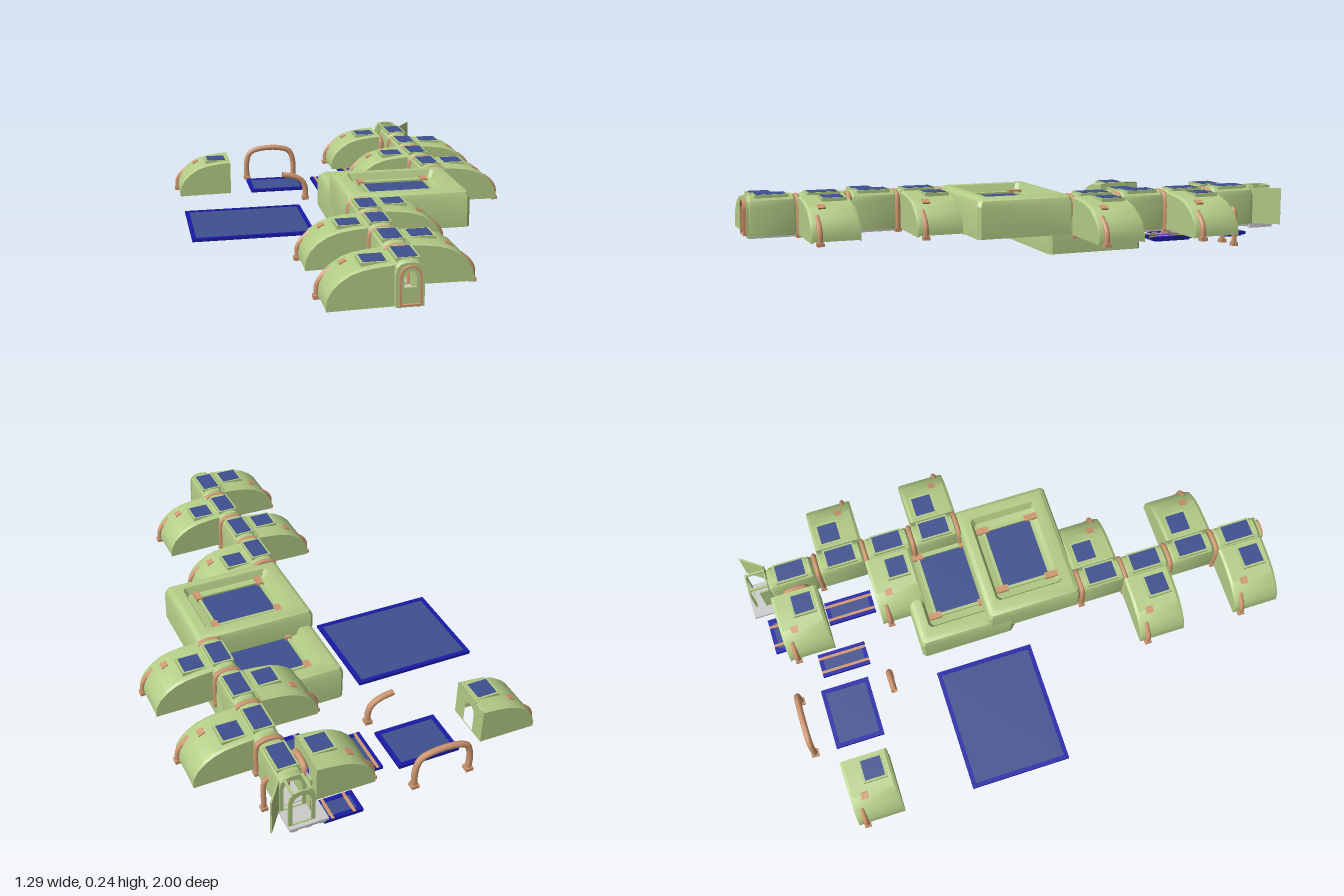
import * as THREE from 'three';
import { toCreasedNormals } from 'three/addons/utils/BufferGeometryUtils.js';

const paint = (color) => new THREE.MeshStandardMaterial({ color, side: THREE.DoubleSide });
const GREEN = paint(0xb4cd87), GLASS = paint(0x3f5090), NAVY = paint(0x1a1aa8);
const ORANGE = paint(0xd09870), GREY = paint(0xcccccc);
const V = (x, y, z) => new THREE.Vector3(x, y, z);

function add(parent, name, geo, mat, x = 0, y = 0, z = 0) {
  const m = new THREE.Mesh(geo, mat);
  m.name = name;
  m.position.set(x, y, z);
  parent.add(m);
  return m;
}

const box = (parent, name, mat, w, h, d, x, y, z) =>
  add(parent, name, new THREE.BoxGeometry(w, h, d), mat, x, y, z);

function group(parent, name, x = 0, y = 0, z = 0) {
  const g = new THREE.Group();
  g.name = name;
  g.position.set(x, y, z);
  parent.add(g);
  return g;
}

// Skin between matching cross-sections
function loft(rings, closed = false) {
  const n = rings[0].length, pos = [], idx = [];
  rings.forEach((r) => r.forEach((p) => pos.push(p.x, p.y, p.z)));
  for (let i = 0; i < rings.length - 1; i++)
    for (let j = 0; j < (closed ? n : n - 1); j++) {
      const a = i * n + j, b = i * n + (j + 1) % n;
      idx.push(a, b, b + n, a, b + n, a + n);
    }
  const g = new THREE.BufferGeometry();
  g.setAttribute('position', new THREE.Float32BufferAttribute(pos, 3));
  g.setIndex(idx);
  return toCreasedNormals(g, 0.5);
}

// Rounded-top door outline
function doorway(Type, cx, y0, hw, top) {
  const s = new Type();
  s.moveTo(cx - hw, y0);
  s.lineTo(cx + hw, y0);
  s.lineTo(cx + hw, top - hw);
  s.absarc(cx, top - hw, hw, 0, Math.PI, false);
  s.closePath();
  return s;
}

function doorFrame(parent, x, y0, z, hw, top, depth = 0.012) {
  const s = doorway(THREE.Shape, 0, y0, hw, top);
  s.holes.push(doorway(THREE.Path, 0, y0 + 0.006, hw - 0.006, top - 0.006));
  add(parent, 'doorFrame', new THREE.ExtrudeGeometry(s, { depth, bevelEnabled: false, curveSegments: 8 }), ORANGE, x, 0, z);
  const leaf = doorway(THREE.Shape, 0, y0 + 0.006, hw - 0.006, top - 0.006);
  leaf.holes.push(doorway(THREE.Path, 0, y0 + 0.06, hw * 0.55, top - 0.02));
  add(parent, 'doorLeaf', new THREE.ExtrudeGeometry(leaf, { depth: depth / 2, bevelEnabled: false, curveSegments: 8 }), GREEN, x, 0, z);
}

function tube(parent, name, pts, r) {
  const curve = new THREE.CatmullRomCurve3(pts, false, 'centripetal');
  return add(parent, name, new THREE.TubeGeometry(curve, 28, r, 8), ORANGE);
}

// Arched rib standing on two feet
function rib(parent, x, z, hw, y0, top, r = 0.01) {
  const g = group(parent, 'archRib', x, 0, z), c = hw * 0.45;
  const half = [V(hw, y0, 0), V(hw, top - c * 1.3, 0), V(hw - c * 0.35, top - c * 0.35, 0), V(hw - c * 1.3, top, 0)];
  const left = half.map((p) => V(-p.x, p.y, 0)).reverse();
  tube(g, 'ribTube', [...half, ...left], r);
  for (const s of [-1, 1]) box(g, 'ribFoot', ORANGE, r * 2.4, 0.014, r * 2.4, s * hw, y0 + 0.007, 0);
  return g;
}

// Pod: inner face on x = 0, curving down towards +x
const POD = [[0, 0.228], [0.05, 0.224], [0.1, 0.217], [0.14, 0.204], [0.175, 0.182], [0.2, 0.157], [0.215, 0.13], [0.22, 0.105], [0.22, 0.088]];
const POD_HALF = 0.09;

function pod(parent, x, z, flip, floor = false, dy = 0) {
  const g = group(parent, 'pod', x, dy, z);
  if (flip) g.rotation.y = Math.PI;
  const ring = (w, drop) => POD.map(([px, py]) => V(px, py - drop, w));
  add(g, 'podRoof', loft([ring(-POD_HALF, 0.006), ring(-POD_HALF + 0.01, 0), ring(POD_HALF - 0.01, 0), ring(POD_HALF, 0.006)]), GREEN);
  const side = new THREE.Shape([[0, 0.085], ...POD.map(([px, py]) => [px, py - 0.006])].map((p) => new THREE.Vector2(...p)));
  for (const s of [-1, 1]) add(g, 'podSide', new THREE.ShapeGeometry(side), GREEN, 0, 0, s * POD_HALF);
  const wall = new THREE.Shape();
  wall.moveTo(-POD_HALF, 0.085).lineTo(POD_HALF, 0.085).lineTo(POD_HALF, 0.225).lineTo(-POD_HALF, 0.225);
  wall.holes.push(doorway(THREE.Path, 0, 0.09, 0.03, 0.19));
  add(g, 'podInnerWall', new THREE.ShapeGeometry(wall, 8), GREEN).rotation.y = Math.PI / 2;
  box(g, 'skylightFrame', GREEN, 0.092, 0.02, 0.092, 0.058, 0.219, -0.022);
  box(g, 'skylight', GLASS, 0.076, 0.02, 0.076, 0.058, 0.2205, -0.022);
  // Outer strap with its foot and upper anchor
  tube(g, 'podStrap', [V(0.222, 0.078, 0.06), V(0.221, 0.12, 0.06), V(0.205, 0.147, 0.06), V(0.175, 0.173, 0.06)], 0.01);
  box(g, 'strapFoot', ORANGE, 0.024, 0.014, 0.026, 0.223, 0.08, 0.06);
  box(g, 'strapAnchor', ORANGE, 0.026, 0.02, 0.028, 0.14, 0.197, 0.035).rotation.z = -0.42;
  if (floor) {
    box(g, 'podFloor', GREY, 0.2, 0.006, 0.16, 0.11, 0.088, 0);
    for (const s of [-1, 1]) box(g, 'floorEdge', ORANGE, 0.21, 0.008, 0.008, 0.11, 0.088, s * 0.082);
  }
}

// Corridor module with chamfered ends
const SECTION = [[-0.048, 0.085], [-0.048, 0.195], [-0.043, 0.216], [-0.03, 0.229], [-0.012, 0.233], [0.012, 0.233], [0.03, 0.229], [0.043, 0.216], [0.048, 0.195], [0.048, 0.085]];

function corridor(parent, x, z) {
  const g = group(parent, 'corridorModule', x, 0, z);
  const ring = (w, k) => SECTION.map(([px, py]) => V(px * k, 0.085 + (py - 0.085) * k, w));
  add(g, 'corridorShell', loft([ring(-0.092, 0.9), ring(-0.078, 1), ring(0.078, 1), ring(0.092, 0.9)]), GREEN);
  box(g, 'skylightFrame', GREEN, 0.08, 0.012, 0.124, 0, 0.23, 0);
  box(g, 'skylight', GLASS, 0.066, 0.012, 0.11, 0, 0.231, 0);
  box(g, 'corridorFloor', GREY, 0.09, 0.008, 0.17, 0, 0.086, 0);
  for (const s of [-1, 1]) box(g, 'floorRail', GREY, 0.008, 0.012, 0.17, s * 0.03, 0.082, 0);
}

// Hall with a sunken skylight
function hall(parent, y, z, floor) {
  const g = group(parent, 'hall', 0.16, y, z);
  const rect = ([hx, hz, h]) => {
    const c = Math.min(0.012, hx * 0.1);
    return [[hx, hz - c], [hx - c, hz], [-hx + c, hz], [-hx, hz - c], [-hx, -hz + c], [-hx + c, -hz], [hx - c, -hz], [hx, -hz + c]]
      .map(([a, b]) => V(a, h, b));
  };
  add(g, 'hallShell', loft([[0.238, 0.187, 0.088], [0.238, 0.187, 0.205], [0.23, 0.18, 0.224], [0.215, 0.165, 0.234],
    [0.178, 0.136, 0.234], [0.165, 0.125, 0.205], [0.122, 0.092, 0.196]].map(rect), true), GREEN);
  box(g, 'hallSkylight', GLASS, 0.25, 0.008, 0.19, 0, 0.197, 0);
  for (const sx of [-1, 1]) {
    box(g, 'skylightRail', GREEN, 0.012, 0.014, 0.2, sx * 0.128, 0.201, 0);
    for (const sz of [-1, 1]) box(g, 'skylightClamp', ORANGE, 0.024, 0.016, 0.05, sx * 0.128, 0.206, sz * 0.1);
  }
  for (const sz of [-1, 1]) box(g, 'skylightRail', GREEN, 0.256, 0.014, 0.012, 0, 0.201, sz * 0.097);
  doorFrame(g, -0.19, 0.095, 0.182, 0.034, 0.215);
  if (floor) box(g, 'hallFloor', GREY, 0.46, 0.008, 0.36, 0, 0.091, 0);
}

// Glazed panel lying on the ground, optionally with clamps
function panel(parent, x, z, w, d, stripes = 0) {
  const g = group(parent, 'loosePanel', x, 0, z), t = 0.016;
  for (const s of [-1, 1]) {
    box(g, 'panelRim', NAVY, w, 0.012, t, 0, 0.024, s * (d - t) / 2);
    box(g, 'panelRim', NAVY, t, 0.012, d, s * (w - t) / 2, 0.024, 0);
    if (stripes) box(g, 'panelStrip', ORANGE, 0.011, 0.014, d, s * stripes, 0.024, 0);
  }
  box(g, 'panelGlass', GLASS, w - t, 0.006, d - t, 0, 0.024, 0);
  if (stripes) box(g, 'panelUnderside', NAVY, w * 0.75, 0.01, d * 0.8, 0, 0.015, 0);
}

// Open entrance bay at the far end
function airlock(parent) {
  const g = group(parent, 'airlock', 0.35, 0, -0.945);
  box(g, 'airlockFloor', GREY, 0.14, 0.01, 0.11, -0.02, 0.082, 0);
  for (const i of [0, 1, 2]) box(g, 'airlockTread', GREY, 0.022, 0.012, 0.1, -0.07 + i * 0.05, 0.073, 0);
  for (const z of [-0.036, 0.036]) {
    const s = new THREE.Shape(SECTION.map((p) => new THREE.Vector2(...p)));
    s.holes.push(doorway(THREE.Path, 0, 0.09, 0.034, 0.215));
    add(g, 'airlockFrame', new THREE.ExtrudeGeometry(s, { depth: 0.006, bevelEnabled: false }), GREEN, 0, 0, z - 0.003);
  }
  for (const s of [-1, 1]) box(g, 'airlockBeam', GREEN, 0.008, 0.008, 0.075, s * 0.032, 0.227, 0);
  box(g, 'airlockSideWall', GREEN, 0.006, 0.14, 0.035, -0.05, 0.156, 0.018);
  const leaf = box(g, 'openDoor', GREEN, 0.1, 0.14, 0.006, 0.08, 0.156, 0);
  leaf.rotation.y = 0.93;
}

export function createModel() {
  const model = new THREE.Group();
  model.name = 'modularBase';

  hall(model, 0, 0.05, true);
  hall(model, -0.07, -0.225, false);

  // Corridors with ribs at their joints
  for (const z of [0.33, 0.51, 0.7, 0.893]) corridor(model, -0.03, z);
  for (const z of [-0.23, -0.42, -0.61, -0.81]) corridor(model, 0.35, z);
  for (const z of [0.243, 0.42, 0.605, 0.797]) rib(model, -0.03, z, 0.046, 0.074, 0.222);
  for (const z of [-0.14, -0.325, -0.515, -0.71]) rib(model, 0.35, z, 0.046, 0.074, 0.222);

  // End wall and entrance door
  const end = new THREE.Shape(SECTION.map((p) => new THREE.Vector2(p[0] * 0.98, p[1] - 0.004)));
  end.holes.push(doorway(THREE.Path, 0, 0.09, 0.034, 0.22));
  add(model, 'endWall', new THREE.ExtrudeGeometry(end, { depth: 0.006, bevelEnabled: false }), GREEN, -0.03, 0, 0.98);
  doorFrame(model, -0.03, 0.088, 0.98, 0.036, 0.222, 0.018);

  // Pods on alternating sides
  for (const z of [0.32, 0.71]) pod(model, 0.018, z, false);
  for (const z of [0.5, 0.89]) pod(model, -0.08, z, true);
  for (const z of [-0.22, -0.605]) pod(model, 0.4, z, false, true);
  pod(model, 0.3, -0.435, true);
  pod(model, 0.265, -0.82, true);
  pod(model, -0.42, -0.74, true, false, -0.065);
  rib(model, 0.282, -0.81, 0.044, 0.085, 0.2, 0.012).rotation.y = Math.PI / 2;

  // Loose panels and ribs
  panel(model, -0.4, -0.19, 0.48, 0.385);
  panel(model, -0.21, -0.74, 0.24, 0.19);
  panel(model, 0.008, -0.715, 0.095, 0.19, 0.028);
  panel(model, 0.21, -0.635, 0.095, 0.19, 0.028);
  panel(model, 0.185, -0.915, 0.145, 0.095, 0.04);
  rib(model, -0.21, -0.92, 0.107, 0.008, 0.148, 0.012);
  rib(model, 0.37, -0.81, 0.042, 0.006, 0.15);
  const hook = group(model, 'looseStrap', 0, 0, -0.56);
  tube(hook, 'strapTube', [V(-0.105, 0.008, 0), V(-0.105, 0.05, 0), V(-0.118, 0.082, 0), V(-0.15, 0.103, 0), V(-0.205, 0.115, 0)], 0.012);
  box(hook, 'strapFoot', ORANGE, 0.028, 0.016, 0.028, -0.105, 0.008, 0);

  airlock(model);
  return model;
}
